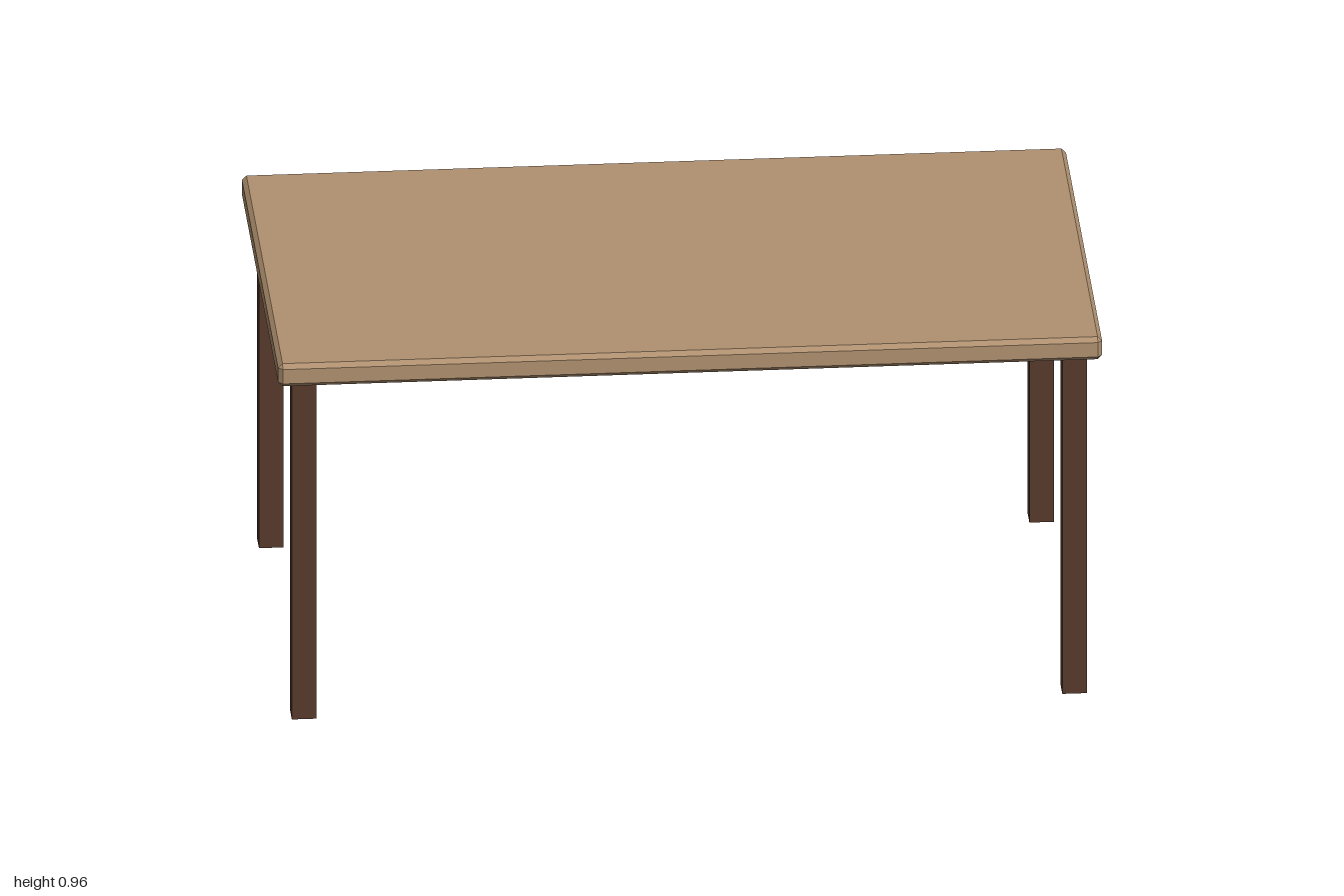
import * as THREE from 'three';
import { ConvexGeometry } from 'three/addons/geometries/ConvexGeometry.js';

// Box with every edge and corner cut by one flat chamfer
function chamferedBox(width, height, depth, bevel) {
  const points = [];
  for (const sx of [-1, 1]) for (const sy of [-1, 1]) for (const sz of [-1, 1]) {
    const x = width / 2, y = height / 2, z = depth / 2, b = bevel;
    points.push(
      new THREE.Vector3(sx * x, sy * (y - b), sz * (z - b)),
      new THREE.Vector3(sx * (x - b), sy * y, sz * (z - b)),
      new THREE.Vector3(sx * (x - b), sy * (y - b), sz * z)
    );
  }
  return new ConvexGeometry(points);
}

export function createModel() {
  const table = new THREE.Group();
  table.name = 'table';

  const lightWood = new THREE.MeshStandardMaterial({ color: 0xb09170 });
  lightWood.name = 'lightWood';
  const darkWood = new THREE.MeshStandardMaterial({ color: 0x573a2c });
  darkWood.name = 'darkWood';

  // Tabletop slab
  const top = new THREE.Mesh(chamferedBox(2, 0.06, 1.12, 0.011), lightWood);
  top.name = 'tabletop';
  top.position.y = 0.926;
  table.add(top);

  // Four square legs
  const legHeight = 0.896;
  const legGeometry = new THREE.BoxGeometry(0.06, legHeight, 0.06);
  for (const [side, x] of [['Left', 0.935], ['Right', -0.935]]) {
    for (const [end, z] of [['front', 0.5], ['back', -0.5]]) {
      const leg = new THREE.Mesh(legGeometry, darkWood);
      leg.name = `${end}${side}Leg`;
      leg.position.set(x, legHeight / 2, z);
      table.add(leg);
    }
  }

  return table;
}
